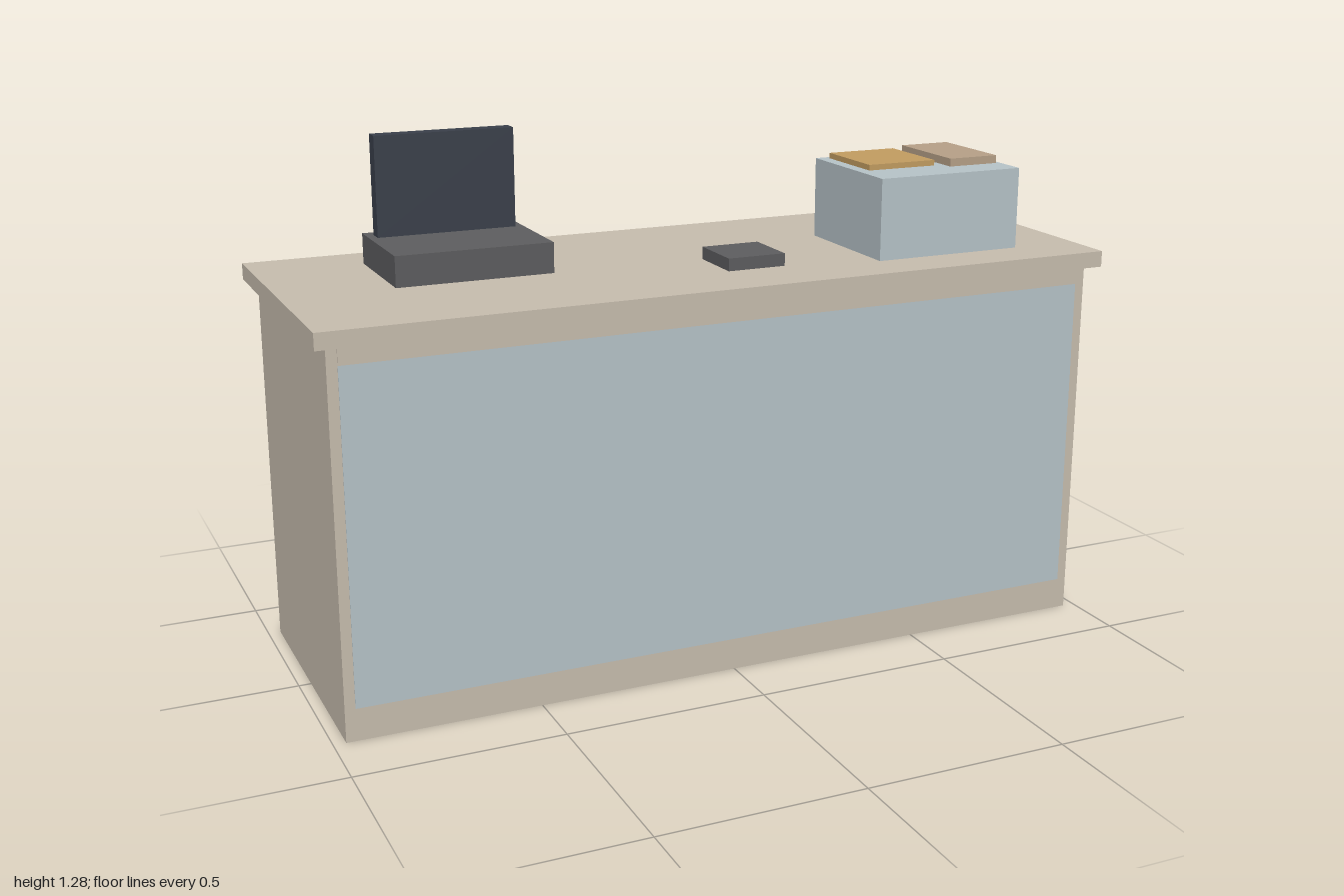
import * as THREE from 'three';

const material = (name, color) => {
  const m = new THREE.MeshStandardMaterial({ color });
  m.name = name;
  return m;
};

export function createModel() {
  const group = new THREE.Group();
  const beige = material('beige laminate', 0xc9bfb0);
  const blue = material('pale blue', 0xb8c5ca);
  const grey = material('charcoal', 0x5e5e60);
  const navy = material('dark slate', 0x3a404b);
  const amber = material('amber', 0xc49e62);
  const tan = material('tan', 0xb8a289);

  // Box given by its minimum and maximum on each axis
  const box = (name, mat, [x0, x1], [y0, y1], [z0, z1]) => {
    const mesh = new THREE.Mesh(new THREE.BoxGeometry(x1 - x0, y1 - y0, z1 - z0), mat);
    mesh.position.set((x0 + x1) / 2, (y0 + y1) / 2, (z0 + z1) / 2);
    mesh.name = name;
    group.add(mesh);
  };

  // Counter
  box('counterBody', beige, [-0.97, 0.97], [0, 0.925], [-0.338, 0.338]);
  box('counterTop', beige, [-1, 1], [0.925, 0.965], [-0.368, 0.368]);
  box('frontPanel', blue, [-0.945, 0.945], [0.08, 0.88], [0.337, 0.34]);
  box('frontRail', beige, [-0.945, 0.945], [0.88, 0.925], [0.337, 0.341]);

  // Till with upright screen
  box('tillBase', grey, [-0.73, -0.342], [0.965, 1.04], [-0.245, 0.042]);
  box('tillScreen', navy, [-0.71, -0.362], [1.04, 1.285], [-0.214, -0.175]);

  // Small card reader
  box('cardReader', grey, [0.045, 0.195], [0.965, 0.996], [0.045, 0.195]);

  // Display box with two flat packets on its lid
  box('displayBox', blue, [0.432, 0.825], [0.965, 1.168], [-0.098, 0.243]);
  box('amberPacket', amber, [0.463, 0.65], [1.168, 1.182], [-0.081, 0.125]);
  box('tanPacket', tan, [0.678, 0.813], [1.168, 1.188], [-0.081, 0.156]);

  return group;
}
